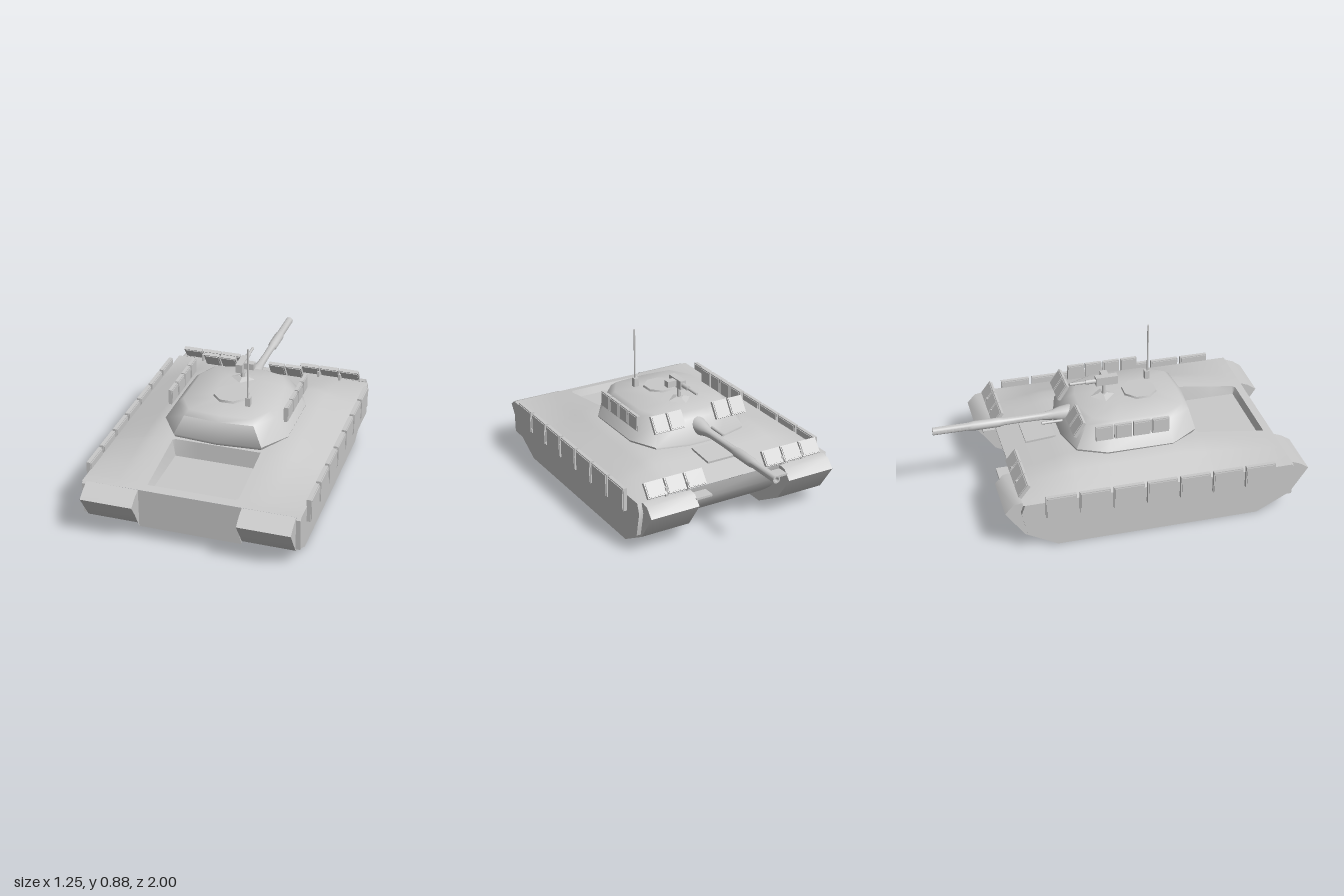
import * as THREE from 'three';
import { toCreasedNormals } from 'three/addons/utils/BufferGeometryUtils.js';

const paint = new THREE.MeshStandardMaterial({ color: 0xcacaca, side: THREE.DoubleSide });
paint.name = 'light grey';

function add(parent, name, geometry, x = 0, y = 0, z = 0) {
  const mesh = new THREE.Mesh(geometry, paint);
  mesh.name = name;
  mesh.position.set(x, y, z);
  parent.add(mesh);
  return mesh;
}

// Surface through a grid of points: rows of equal length
function surface(rows, crease) {
  const n = rows[0].length, index = [];
  for (let r = 0; r < rows.length - 1; r++) {
    for (let i = 0; i < n - 1; i++) {
      const a = r * n + i, d = a + n;
      index.push(a, a + 1, d + 1, a, d + 1, d);
    }
  }
  const g = new THREE.BufferGeometry();
  g.setAttribute('position', new THREE.Float32BufferAttribute(rows.flat(2), 3));
  g.setIndex(index);
  return toCreasedNormals(g, crease);
}

// Strip of [z, y] points swept straight across from x0 to x1
const strip = (points, x0, x1) => surface(points.map(([z, y]) => [[x0, y, z], [x1, y, z]]), 1.2);

// Flat wall in the z-y plane, facing +x or -x
function wall(points, facing) {
  const shape = new THREE.Shape(points.map(([z, y]) => new THREE.Vector2(-facing * z, y)));
  return new THREE.ShapeGeometry(shape).rotateY(facing * Math.PI / 2);
}

// Armour tile with a slightly smaller face plate on each side, thin along z
function tile(parent, name, w, h, d) {
  const g = new THREE.Group();
  g.name = name;
  add(g, 'tileCore', new THREE.BoxGeometry(w, h, d * 0.7));
  add(g, 'tileFace', new THREE.BoxGeometry(w - 0.012, h - 0.012, d));
  parent.add(g);
  return g;
}

const lerpTable = (table, v) => {
  for (let i = 1; i < table.length; i++) {
    const [a, ya] = table[i - 1], [b, yb] = table[i];
    if (v <= b) return ya + (yb - ya) * Math.max(0, (v - a) / (b - a));
  }
  return table[table.length - 1][1];
};

function buildHull() {
  const hull = new THREE.Group();
  hull.name = 'hull';
  // Hollow track housings, open underneath
  const rear = [[0.71, 0], [0.9, 0.1], [0.96, 0.19], [1, 0.25], [0.95, 0.285], [0.9, 0.305]];
  const front = [[-0.62, 0.308], [-0.67, 0.3], [-0.715, 0.25], [-0.61, 0.1], [-0.43, 0]];
  const glacis = [[-0.62, 0.308], [-0.6, 0.22], [-0.54, 0.14], [-0.46, 0.08]];
  const lowerWall = [...rear.slice(0, -1), [0.9, 0.305], [0.9, 0.11], [-0.6, 0.11], ...front];
  const innerWall = [...rear, [0.9, 0.08], ...glacis.slice().reverse(), ...front.slice(1)];
  const sideWall = [[0.9, 0.11], [0.905, 0.29], [0.89, 0.305], [-0.61, 0.305], [-0.63, 0.25], [-0.6, 0.11]];
  for (const s of [1, -1]) {
    const [x0, x1] = s > 0 ? [0.285, 0.575] : [-0.575, -0.285];
    add(hull, 'trackHousingRear', strip(rear, x0, x1));
    add(hull, 'trackHousingFront', strip(front, x0, x1));
    add(hull, 'trackLowerWall', wall(lowerWall, s), s * 0.575);
    add(hull, 'trackInnerWall', wall(innerWall, -s), s * 0.285);
    add(hull, 'sideWall', wall(sideWall, s), s * 0.6);
    // Returns that join the wider side wall to the housing
    const edge = [...sideWall.slice(3), ...sideWall.slice(0, 3)];
    add(hull, 'sideWallEdge', surface(edge.map(([z, y]) => [[s * 0.575, y, z], [s * 0.6, y, z]]), 0.6));
  }
  add(hull, 'rearPlate', strip([[0.9, 0.08], [0.9, 0.305]], -0.285, 0.285));
  add(hull, 'lowerGlacis', strip(glacis, -0.285, 0.285));

  // Domed deck with the rear bay pressed into it
  const ridge = [[-0.62, 0.31], [-0.45, 0.35], [-0.3, 0.383], [0.3, 0.388], [0.45, 0.37], [0.9, 0.306]];
  const half = [0.6, 0.56, 0.5, 0.42, 0.36, 0.28, 0.25, 0.235, 0.1];
  const xs = [...half.map(x => -x), 0, ...half.slice().reverse()];
  const zs = [0.9, 0.85, 0.835, 0.7, 0.6, 0.46, 0.45, 0.3, 0.1, -0.1, -0.3, -0.38, -0.45, -0.54, -0.62];
  add(hull, 'deck', surface(zs.map(z => xs.map(x => {
    const ax = Math.abs(x), t = Math.min(1, (0.6 - ax) / 0.24);
    const inBay = ax < 0.24 && z > 0.455 && z < 0.84;
    const y = inBay ? 0.27 : 0.305 + (lerpTable(ridge, z) - 0.305) * t;
    return [x, y, z];
  })), 0.9));

  const hatch = add(hull, 'driverHatch', new THREE.BoxGeometry(0.2, 0.012, 0.17), 0, 0.372, -0.415);
  hatch.rotation.x = -0.08;

  for (const s of [1, -1]) {
    // Side armour
    for (let i = 0; i < 7; i++) {
      const t = tile(hull, 'sideArmour', 0.168, 0.132, 0.03);
      t.position.set(s * 0.611, 0.28, 0.702 - i * 0.1865);
      t.rotation.y = Math.PI / 2;
    }
    // Front armour rack
    for (let i = 0; i < 3; i++) {
      const t = tile(hull, 'frontArmour', 0.113, 0.088, 0.027);
      t.position.set(s * (0.247 + i * 0.121), 0.355, -0.6);
      t.rotation.x = 0.65;
    }
    add(hull, 'rackShelf', new THREE.BoxGeometry(0.1, 0.012, 0.07), s * 0.24, 0.28, -0.655);
    for (const x of [0.3, 0.43]) {
      add(hull, 'rackBracket', new THREE.BoxGeometry(0.012, 0.05, 0.05), s * x, 0.33, -0.6);
    }
  }
  return hull;
}

function buildTurret() {
  const turret = new THREE.Group();
  turret.name = 'turret';
  // Plan outline, tapered through levels: [y, width scale, back z, front z]
  const plan = [[0, 0.46], [0.25, 0.44], [0.355, 0.28], [0.355, -0.1], [0.28, -0.26], [0.1, -0.31], [0, -0.31]];
  const ring = [...plan, ...plan.slice(1, -1).reverse().map(([x, z]) => [-x, z]), plan[0]];
  const levels = [[0.375, 0.98, 0.45, -0.3], [0.395, 1, 0.46, -0.3], [0.505, 0.79, 0.43, -0.225],
    [0.53, 0.71, 0.4, -0.18], [0.543, 0.3, 0.26, -0.05], [0.545, 0, 0.1, 0.1]];
  add(turret, 'turretShell', surface(levels.map(([y, sx, back, front]) => ring.map(([x, z]) =>
    [x * sx, y, front + (z + 0.31) / 0.77 * (back - front)])), 0.8));

  // Commander's cupola
  add(turret, 'cupola', toCreasedNormals(new THREE.CylinderGeometry(0.098, 0.106, 0.03, 8), 0.9), 0, 0.54, 0.18)
    .rotation.y = Math.PI / 8;

  for (const s of [1, -1]) {
    for (let i = 0; i < 4; i++) {
      const t = tile(turret, 'turretSideArmour', 0.096, 0.088, 0.026);
      t.position.set(s * 0.333, 0.514, 0.21 - i * 0.106);
      t.rotation.y = Math.PI / 2;
    }
    for (let i = 0; i < 2; i++) {
      const t = tile(turret, 'turretFrontArmour', 0.092, 0.1, 0.026);
      t.position.set(s * (0.146 + i * 0.1), 0.524, -0.235);
      t.rotation.x = 0.58;
    }
  }

  // Gun, turned around the barrel axis
  const profile = [[0, 0.22], [0.05, 0.22], [0.042, 0.28], [0.03, 0.32], [0.022, 0.38], [0.02, 0.5],
    [0.021, 0.6], [0.027, 0.63], [0.027, 0.77], [0.022, 0.8], [0.022, 1], [0.013, 1], [0.013, 0.95], [0, 0.95]];
  const gun = new THREE.LatheGeometry(profile.map(([r, l]) => new THREE.Vector2(r, l)), 16);
  gun.rotateX(-Math.PI / 2);
  add(turret, 'mainGun', toCreasedNormals(gun, 0.7), 0, 0.458, 0);
  add(turret, 'coaxialGun', new THREE.CylinderGeometry(0.008, 0.008, 0.12, 8), -0.06, 0.45, -0.34)
    .rotation.x = Math.PI / 2;

  // Roof machine gun
  const mg = new THREE.Group();
  mg.name = 'roofGun';
  turret.add(mg);
  add(mg, 'mountBase', toCreasedNormals(new THREE.CylinderGeometry(0.025, 0.073, 0.014, 4), 0.3), 0, 0.549, -0.03);
  add(mg, 'mountPost', new THREE.CylinderGeometry(0.01, 0.012, 0.09, 10), 0, 0.58, -0.025);
  add(mg, 'receiver', new THREE.BoxGeometry(0.038, 0.05, 0.125), 0, 0.64, -0.01);
  add(mg, 'ammoBox', new THREE.BoxGeometry(0.055, 0.036, 0.04), 0.046, 0.64, -0.01);
  add(mg, 'gunBarrel', new THREE.CylinderGeometry(0.008, 0.008, 0.15, 10), 0, 0.64, -0.145)
    .rotation.x = Math.PI / 2;
  add(mg, 'barrelJacket', new THREE.CylinderGeometry(0.013, 0.013, 0.06, 10), 0, 0.64, -0.1)
    .rotation.x = Math.PI / 2;

  // Aerial
  add(turret, 'aerialBase', new THREE.BoxGeometry(0.028, 0.07, 0.028), 0.12, 0.555, 0.26);
  add(turret, 'aerial', new THREE.CylinderGeometry(0.005, 0.005, 0.3, 8), 0.12, 0.735, 0.265);
  return turret;
}

export function createModel() {
  const model = new THREE.Group();
  model.name = 'tank';
  model.add(buildHull(), buildTurret());
  return model;
}
